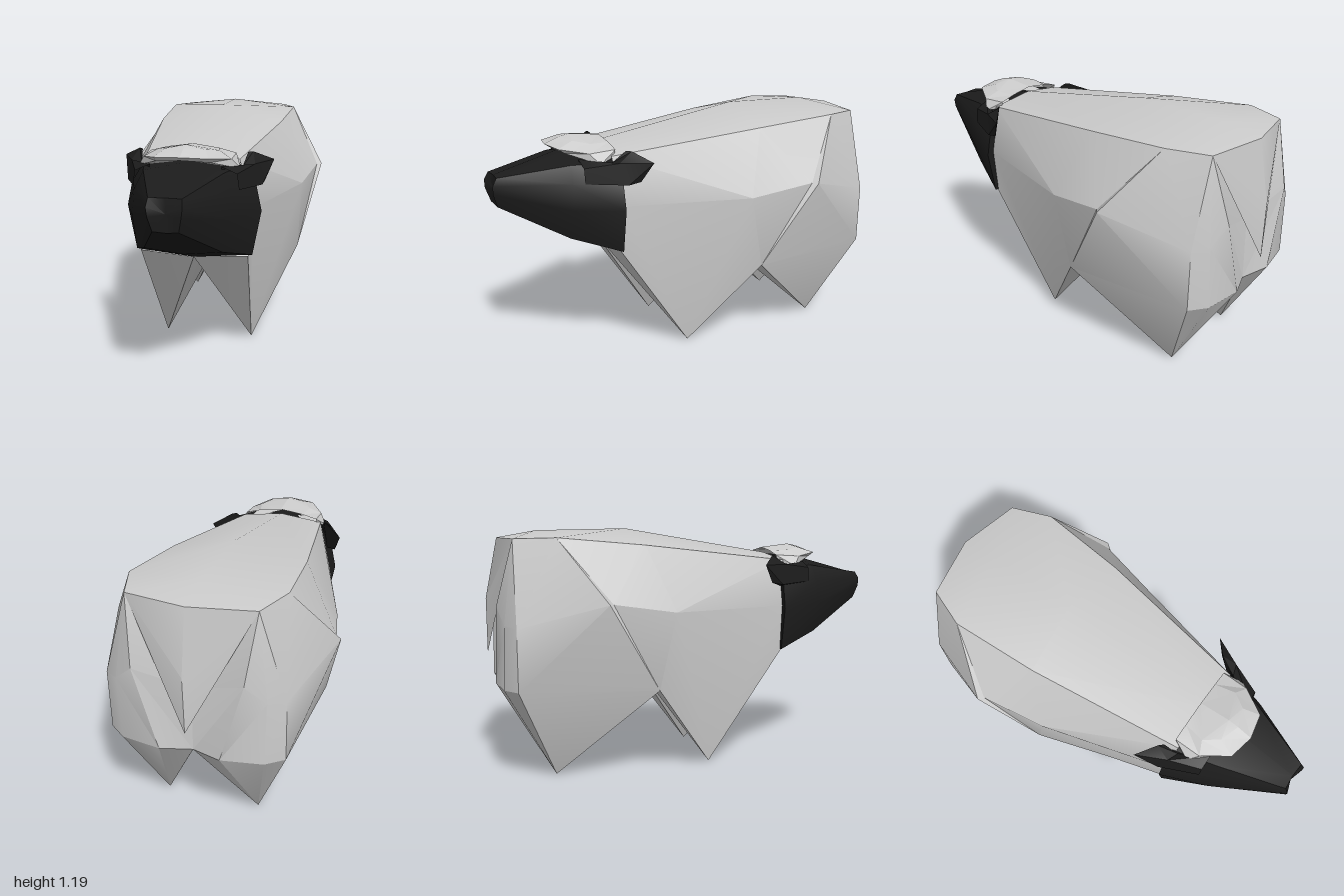
import * as THREE from 'three';
import { toCreasedNormals } from 'three/addons/utils/BufferGeometryUtils.js';

// Collects triangles for the left half and mirrors every one across x = 0.
class HalfMesh {
  constructor() { this.positions = []; }

  tri(a, b, c) {
    const [p, q, r] = [a, b, c].map(v => new THREE.Vector3(...v));
    if (q.clone().sub(p).cross(r.clone().sub(p)).length() < 1e-6) return this;
    const flip = v => [-v[0], v[1], v[2]];
    this.positions.push(...a, ...b, ...c, ...flip(a), ...flip(c), ...flip(b));
    return this;
  }

  // Skin between successive rows of points
  loft(rows, closed = false) {
    for (let i = 0; i + 1 < rows.length; i++) {
      const n = rows[i].length;
      for (let j = 0; j < (closed ? n : n - 1); j++) {
        const k = (j + 1) % n;
        const a = rows[i][j], b = rows[i + 1][j], c = rows[i + 1][k], d = rows[i][k];
        this.tri(a, d, c).tri(a, c, b);
      }
    }
    return this;
  }

  // Triangles around one apex
  fan(apex, rim) {
    for (let i = 0; i + 1 < rim.length; i++) this.tri(apex, rim[i], rim[i + 1]);
    return this;
  }

  mesh(name, color, crease) {
    const g = new THREE.BufferGeometry();
    g.setAttribute('position', new THREE.Float32BufferAttribute(this.positions, 3));
    g.computeVertexNormals();
    const material = new THREE.MeshStandardMaterial({ color, side: THREE.DoubleSide });
    const m = new THREE.Mesh(toCreasedNormals(g, crease), material);
    m.name = name;
    return m;
  }
}

const WOOL = 0xcccccc, FACE = 0x1c1c1c;

export function createModel() {
  const group = new THREE.Group();
  group.name = 'sheep';

  // Landmarks shared by the fleece panels
  const frontFoot = [0.23, 0, 0.08], rearFoot = [0.23, 0, -0.7];
  const neckBottom = [0.26, 0.57, 0.46], neckCentre = [0, 0.55, 0.46];
  const belly = [0, 0.45, -0.23], flank = [0.44, 0.43, -0.23];
  const rump = [0, 1.18, -0.75], hip = [0.36, 1.145, -0.69];
  const hipSide = [0.52, 0.85, -0.46], thigh = [0.545, 0.85, -0.48];
  const rearCorner = [0.29, 1.14, -0.88], tailTop = [0, 1.145, -0.94];
  const haunch = [0.41, 0.74, -0.88], haunchLow = [0.41, 0.45, -0.88];
  const buttock = [0.34, 0.75, -0.93], buttockLow = [0.33, 0.45, -0.94];
  const inner = [0.25, 0.83, -0.96], innerLow = [0.14, 0.45, -0.97];
  const crotch = [0, 0.44, -0.92];

  // Back and shoulders, from the neck to the hip; then the pointed front legs
  const fore = new HalfMesh()
    .loft([
      [[0, 1.065, 0.46], [0.22, 1.03, 0.48], [0.28, 0.8, 0.46], neckBottom],
      [[0, 1.19, -0.3], [0.33, 1.11, -0.27], [0.46, 0.8, -0.15], frontFoot],
      [rump, hip, hipSide, flank],
    ])
    .fan(frontFoot, [neckBottom, neckCentre, belly, flank])
    // Rump, and the lip where the thigh overlaps the flank
    .loft([[rump, hip], [tailTop, rearCorner]])
    .loft([[hip, hipSide, flank], [hip, thigh, flank]])
    // Thigh, round the haunch and into the groove beside the tail
    .loft([
      [hip, thigh, flank],
      [rearCorner, haunch, haunchLow],
      [rearCorner, buttock, buttockLow],
      [rearCorner, inner, innerLow],
      [rearCorner, [0, 0.75, -0.91], crotch],
    ])
    .fan(rearFoot, [flank, belly, crotch, innerLow, buttockLow, haunchLow, flank]);
  group.add(fore.mesh('fleece', WOOL, 0.5));

  // Tail flap hanging over the groove
  const tail = new HalfMesh().fan(rearCorner, [[0, 0.58, -1], [0, 0.85, -1], tailTop]);
  group.add(tail.mesh('tail', WOOL, 0.6));

  // Head: rings from the back of the skull to the muzzle, top to chin
  const muzzle = [
    [0, 0.955, 0.975], [0.07, 0.955, 0.98], [0.075, 0.92, 1],
    [0.07, 0.88, 1], [0.055, 0.815, 0.98], [0, 0.81, 0.975],
  ];
  const skull = [
    [0, 1.06, 0.46], [0.235, 1, 0.46], [0.295, 0.905, 0.455],
    [0.32, 0.79, 0.455], [0.28, 0.575, 0.455], [0, 0.55, 0.46],
  ];
  const head = new HalfMesh()
    .loft([
      muzzle,
      [
        [0, 1.04, 0.66], [0.18, 1, 0.66], [0.22, 0.92, 0.67],
        [0.23, 0.8, 0.68], [0.18, 0.65, 0.68], [0, 0.63, 0.68],
      ],
      skull,
    ])
    .fan([0, 0.89, 0.98], [...muzzle].reverse())
    .fan([0, 0.8, 0.46], skull);
  group.add(head.mesh('head', FACE, 0.5));

  // Ears swept back from the temples
  const earTip = [[0.25, 1.055, 0.42], [0.27, 1.055, 0.4], [0.36, 1.01, 0.33], [0.325, 0.92, 0.38]];
  const ears = new HalfMesh()
    .loft([
      [[0.16, 1.02, 0.62], [0.23, 0.99, 0.62], [0.24, 0.92, 0.62], [0.18, 0.92, 0.6]],
      [[0.235, 1, 0.49], [0.29, 1.01, 0.47], [0.32, 0.91, 0.44], [0.27, 0.9, 0.45]],
      earTip,
    ], true)
    .fan(earTip[0], [earTip[3], earTip[2], earTip[1]]);
  group.add(ears.mesh('ears', FACE, 0.4));

  // Wool cap on the forehead: crown, rim and underside
  const cap = new HalfMesh()
    .loft([
      [[0, 1.11, 0.6], [0, 1.11, 0.6], [0, 1.11, 0.6], [0, 1.092, 0.45]],
      [[0, 1.1, 0.65], [0.09, 1.093, 0.62], [0.14, 1.08, 0.55], [0.12, 1.075, 0.45]],
      [[0, 1.072, 0.725], [0.12, 1.066, 0.7], [0.2, 1.048, 0.58], [0.2, 1.055, 0.45]],
      [[0, 1.055, 0.7], [0.12, 1.045, 0.67], [0.235, 1, 0.54], [0.2, 1.02, 0.46]],
      [[0, 1.04, 0.6], [0, 1.04, 0.6], [0, 1.04, 0.6], [0, 1.04, 0.46]],
    ].map(row => [...row].reverse()));
  group.add(cap.mesh('woolCap', WOOL, 0.3));

  return group;
}
